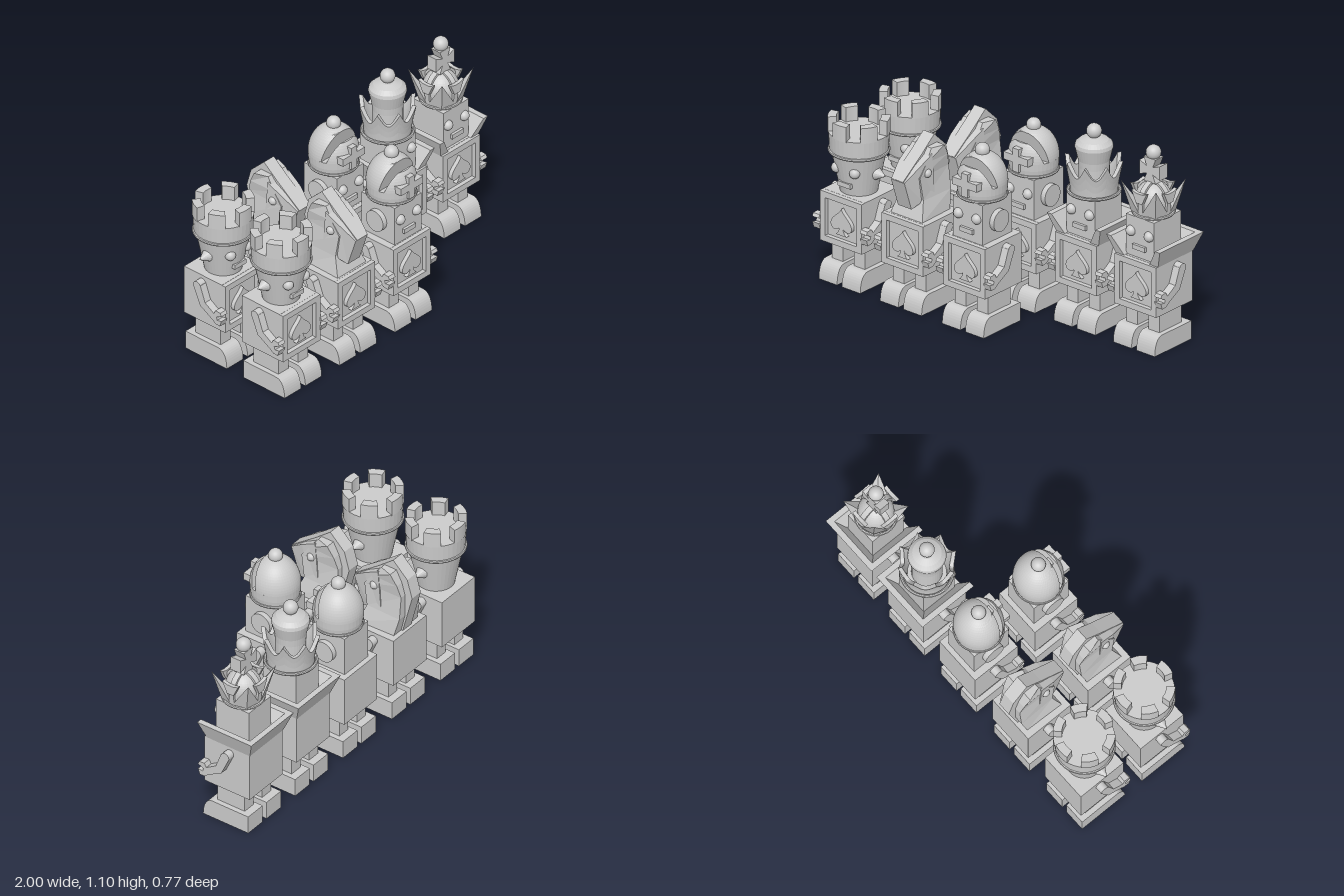
import * as THREE from 'three';

const flat = new THREE.MeshStandardMaterial({ color: 0xcccccc, flatShading: true, side: THREE.DoubleSide });
const smooth = new THREE.MeshStandardMaterial({ color: 0xcccccc });
const V = (x, y) => new THREE.Vector2(x, y);

function add(group, name, geo, x = 0, y = 0, z = 0, mat = flat) {
  const m = new THREE.Mesh(geo, mat);
  m.name = name;
  m.position.set(x, y, z);
  group.add(m);
  return m;
}
const box = (g, name, w, h, d, x, y, z) => add(g, name, new THREE.BoxGeometry(w, h, d), x, y, z);
const ball = (g, name, r, x, y, z) => add(g, name, new THREE.SphereGeometry(r, 24, 16), x, y, z, smooth);
const lathe = (g, name, pts) => add(g, name, new THREE.LatheGeometry(pts.map(p => V(...p)), 36));
const ring = (g, y, r, t = 0.009) =>
  add(g, 'headBand', new THREE.TorusGeometry(r, t, 8, 36).rotateX(Math.PI / 2), 0, y, 0);

// Side profile in (z, y), extruded along x and centred
function profile(pts, width) {
  const shape = pts instanceof THREE.Shape ? pts : new THREE.Shape(pts.map(p => V(...p)));
  return new THREE.ExtrudeGeometry(shape, { depth: width, bevelEnabled: false, curveSegments: 10 })
    .translate(0, 0, -width / 2).rotateY(-Math.PI / 2);
}

// Skin over stacked closed loops of equal length, with end caps
function loft(rows) {
  const pos = [], idx = [], n = rows[0].length;
  rows.forEach(r => r.forEach(p => pos.push(...p)));
  for (let i = 0; i < rows.length - 1; i++) for (let j = 0; j < n; j++) {
    const a = i * n + j, b = i * n + (j + 1) % n;
    idx.push(a, b, b + n, a, b + n, a + n);
  }
  const top = (rows.length - 1) * n;
  for (let j = 1; j < n - 1; j++) idx.push(0, j + 1, j, top, top + j, top + j + 1);
  const g = new THREE.BufferGeometry();
  g.setAttribute('position', new THREE.Float32BufferAttribute(pos, 3));
  g.setIndex(idx);
  g.computeVertexNormals();
  return g;
}

function square(s) {
  return [V(-s, -s), V(s, -s), V(s, s), V(-s, s)];
}

// Torso, legs, feet and arms shared by all figures
function body() {
  const g = new THREE.Group();
  box(g, 'torso', 0.28, 0.282, 0.262, 0, 0.356, -0.012);
  const frame = new THREE.Shape(square(0.14));
  frame.holes.push(new THREE.Path(square(0.106)));
  add(g, 'chestFrame', new THREE.ExtrudeGeometry(frame, { depth: 0.024, bevelEnabled: false }), 0, 0.356, 0.119);

  const s = new THREE.Shape();
  s.moveTo(0, 0.076);
  s.bezierCurveTo(0.012, 0.045, 0.07, 0.02, 0.07, -0.018);
  s.bezierCurveTo(0.07, -0.052, 0.025, -0.055, 0.012, -0.03);
  s.quadraticCurveTo(0.016, -0.06, 0.036, -0.072);
  s.lineTo(-0.036, -0.072);
  s.quadraticCurveTo(-0.016, -0.06, -0.012, -0.03);
  s.bezierCurveTo(-0.025, -0.055, -0.07, -0.052, -0.07, -0.018);
  s.bezierCurveTo(-0.07, 0.02, -0.012, 0.045, 0, 0.076);
  add(g, 'spadeEmblem', new THREE.ExtrudeGeometry(s, { depth: 0.022, bevelEnabled: false }), 0, 0.352, 0.119);

  const foot = new THREE.Shape();
  foot.moveTo(-0.134, 0);
  foot.lineTo(0.153, 0);
  foot.bezierCurveTo(0.152, 0.055, 0.135, 0.102, 0.095, 0.103);
  foot.lineTo(-0.134, 0.103);
  const arm = new THREE.Shape([[-0.038, 0.44], [0.006, 0.343], [0.05, 0.319], [0.093, 0.294], [0.112, 0.279],
    [0.143, 0.276], [0.154, 0.31], [0.125, 0.305], [0.12, 0.322], [0.155, 0.34], [0.146, 0.357], [0.114, 0.36],
    [0.102, 0.337], [0.041, 0.375], [0.008, 0.463]].map(p => V(...p)));
  arm.absarc(-0.017, 0.453, 0.025, 0.4, Math.PI + 0.5, false);
  for (const side of [1, -1]) {
    add(g, 'foot', profile(foot, 0.123), side * 0.078, 0, 0);
    box(g, 'leg', 0.074, 0.114, 0.174, side * 0.074, 0.159, -0.003);
    add(g, 'arm', profile(arm, 0.044), side * 0.16, 0, 0);
  }
  return g;
}

function face(g, z) {
  for (const side of [1, -1]) ball(g, 'eye', 0.028, side * 0.061, 0.635, z);
  box(g, 'mouth', 0.085, 0.026, 0.03, 0, 0.557, z);
}

// Castle tower head
function rook(g) {
  lathe(g, 'head', [[0, 0.495], [0.098, 0.495], [0.142, 0.715], [0, 0.715]]);
  face(g, 0.105);
  ring(g, 0.722, 0.152);
  lathe(g, 'turret', [[0, 0.722], [0.152, 0.722], [0.158, 0.825], [0, 0.825]]);
  const half = Math.PI / 11, merlon = new THREE.Shape();
  merlon.absarc(0, 0, 0.16, -half, half, false);
  merlon.absarc(0, 0, 0.115, half, -half, true);
  for (let i = 0; i < 6; i++) {
    const geo = new THREE.ExtrudeGeometry(merlon, { depth: 0.086, bevelEnabled: false, curveSegments: 6 });
    add(g, 'merlon', geo.rotateX(-Math.PI / 2).rotateY(i * Math.PI / 3 - Math.PI / 2), 0, 0.82, 0);
  }
  for (const side of [1, -1])
    add(g, 'earSpike', new THREE.ConeGeometry(0.034, 0.06, 16).rotateZ(-side * Math.PI / 2), side * 0.15, 0.617, 0);
}

// Horse head
function knight(g) {
  const loop = ([y, wf, wb, zf, zb]) => [[-wf, y, zf], [wf, y, zf], [wb, y, zb], [-wb, y, zb]];
  add(g, 'neck', loft([
    [0.495, 0.107, 0.1, 0.11, -0.115], [0.6, 0.08, 0.085, 0.07, -0.14],
    [0.73, 0.075, 0.07, 0.09, -0.14], [0.8, 0.075, 0.08, 0.04, -0.12], [0.865, 0.065, 0.09, -0.01, -0.085],
  ].map(loop)));
  // Muzzle narrows toward the nose
  const cut = (w, top, bottom, z, slant) => [[-w, top, z], [-w, bottom, z - slant], [w, bottom, z - slant], [w, top, z]];
  add(g, 'muzzle', loft([cut(0.08, 0.84, 0.6, 0, 0.02), cut(0.07, 0.79, 0.59, 0.09, 0.03),
    cut(0.045, 0.725, 0.56, 0.178, 0.055)]));
  add(g, 'mane', profile([[-0.125, 0.495], [-0.185, 0.725], [-0.155, 0.83], [-0.065, 0.917],
    [0.03, 0.84], [0.18, 0.73], [0.1, 0.65], [0, 0.495]], 0.074));
  for (const side of [1, -1]) ball(g, 'eye', 0.024, side * 0.07, 0.74, 0.03);
}

// Domed mitre head with a slanted slot
function bishop(g) {
  box(g, 'head', 0.2, 0.225, 0.23, 0, 0.608, 0);
  face(g, 0.115);
  add(g, 'ears', new THREE.CylinderGeometry(0.06, 0.06, 0.256, 32).rotateZ(Math.PI / 2), 0, 0.605, 0);
  ring(g, 0.727, 0.124);
  lathe(g, 'mitreBase', [[0, 0.722], [0.124, 0.722], [0.13, 0.76], [0.132, 0.8], [0, 0.8]]);
  const radius = y => 0.132 * Math.sqrt(Math.max(0, 1 - ((y - 0.8) / 0.16) ** 2));
  const mitre = (name, plane, front) => {
    const rows = [];
    for (let i = 0; i <= 16; i++) {
      const y = 0.8 + 0.16 * Math.sin(i / 16 * Math.PI / 2), r = radius(y), d = plane(y);
      const phi = r > d ? Math.acos(d / r) : 0;
      if (front && phi === 0) break;
      const from = front ? -phi : phi, to = front ? phi : 2 * Math.PI - phi;
      rows.push(Array.from({ length: 33 }, (_, j) => {
        const a = from + (to - from) * j / 32;
        return [r * Math.sin(a), y, r * Math.cos(a)];
      }));
    }
    add(g, name, loft(rows));
  };
  mitre('mitreBack', y => 0.03 + (y - 0.8) * 0.21, false);
  mitre('mitreFront', y => 0.058 + (y - 0.8) * 0.32, true);
  box(g, 'crossUpright', 0.042, 0.13, 0.07, 0, 0.815, 0.107);
  box(g, 'crossBar', 0.164, 0.042, 0.07, 0, 0.82, 0.107);
  ball(g, 'finial', 0.038, 0, 0.968, 0);
}

// Flared collar around the back and sides
function collar(g) {
  const side = [V(0.085, 0.495), V(0.142, 0.495), V(0.18, 0.598), V(0.148, 0.598)];
  const path = [[-1, 1], [-1, -1], [1, -1], [1, 1]];
  const rows = path.map(([sx, sz]) => side.map(p =>
    [sx * p.x, p.y, sz < 0 ? -p.x - 0.004 : 0.13 + (p.y - 0.495) * 0.3]));
  add(g, 'collar', loft(rows));
}

function royalHead(g) {
  box(g, 'head', 0.19, 0.225, 0.21, 0, 0.608, 0);
  face(g, 0.105);
  collar(g);
}

// Scalloped open crown around a swelling cap
function queen(g) {
  royalHead(g);
  ring(g, 0.727, 0.133);
  const n = 96, wall = (t, inner) => Array.from({ length: n }, (_, j) => {
    const a = j / n * Math.PI * 2, top = 0.906 - 0.075 * Math.abs(Math.cos(4 * a));
    const y = 0.722 + (top - 0.722) * t, r = 0.122 + 0.034 * ((y - 0.722) / 0.184) ** 1.5 - (inner ? 0.022 : 0);
    return [r * Math.sin(a), y, r * Math.cos(a)];
  });
  const steps = [0, 0.33, 0.66, 1];
  add(g, 'crown', loft([...steps.map(t => wall(t, false)), ...steps.slice().reverse().map(t => wall(t, true))]));
  lathe(g, 'cap', [[0, 0.722], [0.08, 0.73], [0.08, 0.86], [0.083, 0.9], [0.1, 0.972], [0.096, 0.99],
    [0.075, 1.01], [0.04, 1.024], [0, 1.028]]);
  ball(g, 'finial', 0.04, 0, 1.056, 0);
}

// Pointed crown with a ribbed dome and a cross on top
function king(g) {
  royalHead(g);
  ring(g, 0.727, 0.103);
  const arc = Array.from({ length: 13 }, (_, i) => i / 12 * Math.PI / 2);
  lathe(g, 'dome', [[0, 0.722], [0.09, 0.722], ...arc.map(a => [0.094 * Math.cos(a), 0.8 + 0.095 * Math.sin(a)])]);
  for (let i = 0; i < 4; i++) {
    const quarter = new THREE.Group();
    quarter.name = 'crownQuarter';
    quarter.rotation.y = i * Math.PI / 2;
    g.add(quarter);
    const tip = [0, 0.906, 0.167];
    add(quarter, 'spike', loft([
      [[0, 0.722, 0.112], [0.075, 0.722, 0.068], [0, 0.722, 0.03], [-0.075, 0.722, 0.068]],
      [tip, tip, tip, tip],
    ])).rotation.y = Math.PI / 4;
    const rib = new THREE.Shape();
    rib.moveTo(0, 0.722);
    rib.lineTo(0.1, 0.722);
    rib.lineTo(0.106, 0.8);
    rib.absellipse(0, 0.8, 0.106, 0.106, 0, Math.PI / 2, false);
    add(quarter, 'rib', profile(rib, 0.03));
    const flare = new THREE.Shape([[-0.02, -0.035], [0.02, -0.035], [0.05, 0.03], [0.018, 0.02],
      [-0.018, 0.02], [-0.05, 0.03]].map(p => V(...p)));
    add(quarter, 'ornament', new THREE.ExtrudeGeometry(flare, { depth: 0.02, bevelEnabled: false }), 0, 0.84, 0.095);
  }
  // Cross with flaring arms
  const pts = [];
  for (let i = 0; i < 4; i++) for (const [u, v] of [[0.02, -0.02], [0.068, -0.04], [0.068, 0.04]])
    pts.push(V(0, 0).set(u, v).rotateAround(V(0, 0), i * Math.PI / 2));
  add(g, 'topCross', new THREE.ExtrudeGeometry(new THREE.Shape(pts), { depth: 0.062, bevelEnabled: false }), 0, 0.965, -0.031);
  ball(g, 'finial', 0.04, 0, 1.057, 0);
}

export function createModel() {
  const model = new THREE.Group();
  model.name = 'robotChessSet';
  const place = (name, build, x, rows) => rows.forEach(z => {
    const g = body();
    build(g);
    g.name = name;
    g.position.set(x, 0, z);
    model.add(g);
  });
  place('rook', rook, -0.818, [0.207, -0.194]);
  place('knight', knight, -0.405, [0.207, -0.194]);
  place('bishop', bishop, 0.012, [0.207, -0.194]);
  place('queen', queen, 0.418, [-0.194]);
  place('king', king, 0.818, [-0.194]);
  return model;
}
